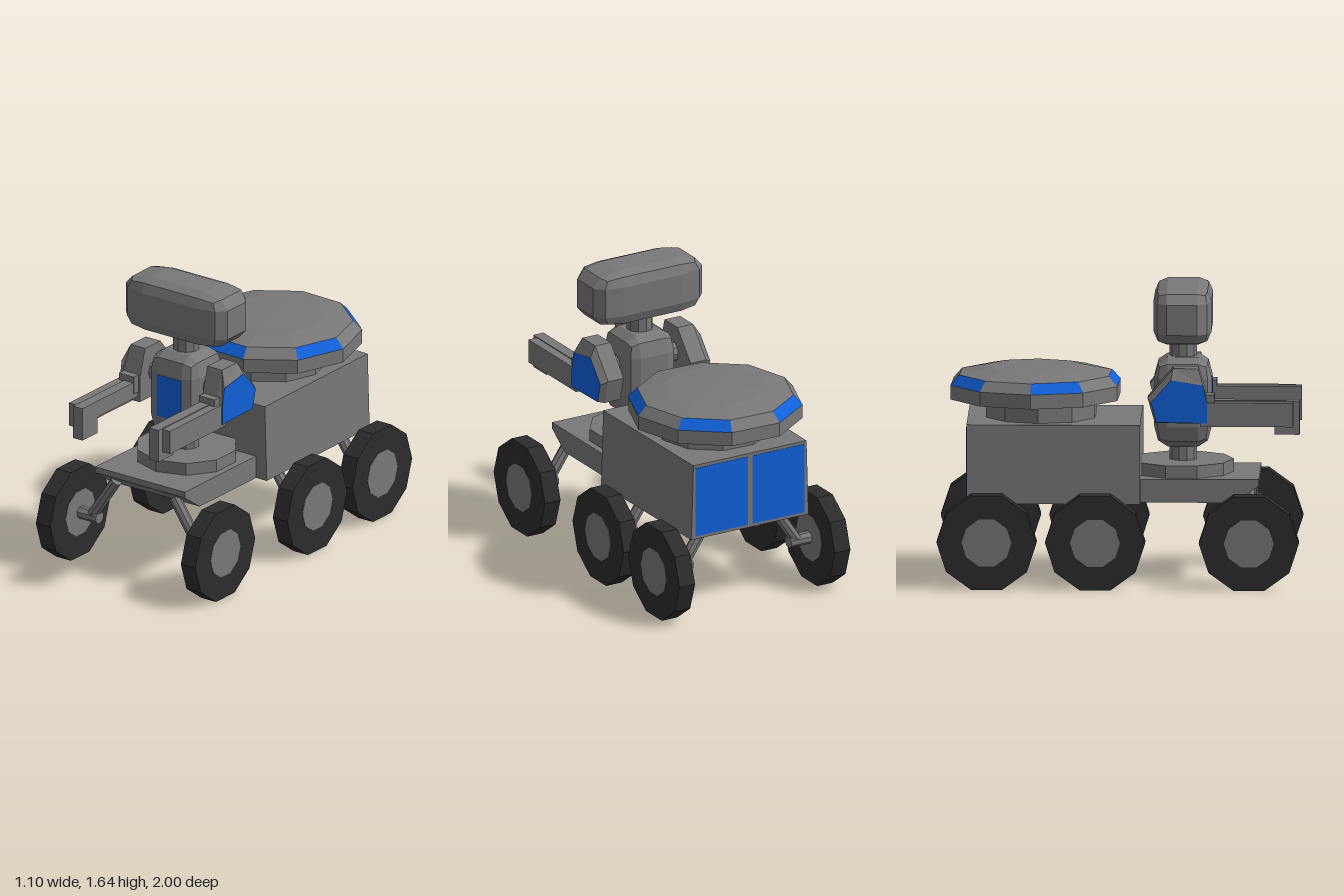
import * as THREE from 'three';
import { RoundedBoxGeometry } from 'three/addons/geometries/RoundedBoxGeometry.js';

const paint = (color) => new THREE.MeshStandardMaterial({ color, flatShading: true });
const rad = THREE.MathUtils.degToRad;

// Joins convex rings of [x, y, z] points (counter-clockwise seen from the last ring) and caps both ends
function loft(rings) {
  const out = [];
  const tri = (...pts) => pts.forEach((p) => out.push(...p));
  const n = rings[0].length;
  for (let r = 0; r < rings.length - 1; r++) {
    for (let i = 0; i < n; i++) {
      const j = (i + 1) % n, a = rings[r], b = rings[r + 1];
      tri(a[i], a[j], b[j]);
      tri(a[i], b[j], b[i]);
    }
  }
  const first = rings[0], last = rings[rings.length - 1];
  for (let i = 1; i < n - 1; i++) {
    tri(first[0], first[i + 1], first[i]);
    tri(last[0], last[i], last[i + 1]);
  }
  const geo = new THREE.BufferGeometry();
  geo.setAttribute('position', new THREE.Float32BufferAttribute(out, 3));
  geo.computeVertexNormals();
  return geo;
}

export function createModel() {
  const model = new THREE.Group();
  model.name = 'rover';
  const grey = paint(0x787878), dark = paint(0x2c2c2c), blue = paint(0x1060d8);

  const add = (parent, name, geo, mat = grey, x = 0, y = 0, z = 0) => {
    const mesh = new THREE.Mesh(geo, mat);
    mesh.name = name;
    mesh.position.set(x, y, z);
    parent.add(mesh);
    return mesh;
  };
  // Box given by its limits
  const box = (parent, name, x0, x1, y0, y1, z0, z1, mat) =>
    add(parent, name, new THREE.BoxGeometry(x1 - x0, y1 - y0, z1 - z0), mat,
      (x0 + x1) / 2, (y0 + y1) / 2, (z0 + z1) / 2);
  // Ring from a side profile of [z, y] pairs at a given x
  const side = (x, profile) => profile.map(([z, y]) => [x, y, z]);

  // Front deck with a sloping nose underneath
  const deck = [[0.1, 0.455], [0.1, 0.585], [0.775, 0.585], [0.775, 0.55], [0.64, 0.455]];
  add(model, 'frontDeck', loft([side(-0.31, deck), side(0.31, deck)]));

  // Cargo body, slightly narrower to the top and rear
  const bodyGeo = new THREE.BoxGeometry(0.77, 0.44, 0.96);
  const p = bodyGeo.attributes.position;
  for (let i = 0; i < p.count; i++) {
    p.setX(i, p.getX(i) * (p.getY(i) > 0 ? 0.965 : 1) * (p.getZ(i) < 0 ? 0.98 : 1));
  }
  bodyGeo.computeVertexNormals();
  add(model, 'cargoBody', bodyGeo, grey, 0, 0.675, -0.36);
  for (const s of [-1, 1]) {
    add(model, 'rearPanel', new THREE.BoxGeometry(0.335, 0.405, 0.006), blue, s * 0.183, 0.675, -0.839);
  }

  // Ten-sided dish on a collar, with every second bevel facet coloured
  add(model, 'dishCollar', new THREE.CylinderGeometry(0.315, 0.315, 0.12, 10, 1, false, rad(88)),
    grey, 0, 0.95, -0.435);
  const profile = [[0, 1], [0.485, 1], [0.485, 1.08], [0.435, 1.135], [0.29, 1.165], [0, 1.175]]
    .map(([r, y]) => new THREE.Vector2(r, y));
  add(model, 'dish', new THREE.LatheGeometry(profile, 10, rad(88)), grey, 0, 0, -0.467);
  const bevel = [new THREE.Vector2(0.487, 1.081), new THREE.Vector2(0.437, 1.136)];
  for (let k = 0; k < 5; k++) {
    add(model, 'dishLight', new THREE.LatheGeometry(bevel, 1, rad(124 + 72 * k), rad(36)),
      blue, 0, 0, -0.467);
  }

  // Turntable, spine, torso and head
  add(model, 'turntable', new THREE.CylinderGeometry(0.285, 0.285, 0.075, 10), grey, 0, 0.6175, 0.345);
  add(model, 'spine', new THREE.CylinderGeometry(0.075, 0.075, 0.7, 10), grey, 0, 1.0, 0.35);
  const block = new RoundedBoxGeometry(0.32, 0.32, 0.32, 1, 0.075);
  add(model, 'torso', block, grey, 0, 0.985, 0.35).scale.y = 1.56;
  box(model, 'chestPanel', -0.083, 0.083, 0.86, 1.106, 0.5, 0.512, blue);
  add(model, 'head', block, grey, 0, 1.48, 0.35).scale.x = 2.19;

  // Arms: a bevelled shoulder block with a coloured outer plate, then a stepped forearm
  const inner = [[0.49, 0.9], [0.2, 0.9], [0.16, 1.04], [0.3, 1.205], [0.44, 1.205], [0.49, 1.04]];
  const outer = [[0.49, 0.905], [0.21, 0.91], [0.18, 1.02], [0.29, 1.145], [0.47, 1.115], [0.49, 1.0]];
  for (const s of [-1, 1]) {
    const arm = new THREE.Group();
    arm.name = s > 0 ? 'leftArm' : 'rightArm';
    arm.scale.x = s;
    model.add(arm);
    add(arm, 'shoulder', loft([side(0.215, inner), side(0.315, inner), side(0.352, outer)]));
    add(arm, 'shoulderPlate', loft([side(0.352, outer), side(0.354, outer)]), blue);
    add(arm, 'shoulderJoint', new THREE.CylinderGeometry(0.06, 0.06, 0.14, 10), grey, 0.17, 1.05, 0.35)
      .rotation.z = Math.PI / 2;
    box(arm, 'elbow', 0.225, 0.33, 0.96, 1.06, 0.45, 0.53);
    box(arm, 'forearm', 0.285, 0.348, 0.885, 1.02, 0.45, 0.965);
    box(arm, 'forearmRail', 0.23, 0.295, 0.93, 1.025, 0.45, 1.0);
    box(arm, 'gripper', 0.23, 0.295, 0.835, 1.02, 0.86, 1.0);
  }

  // Six wheels, each on an axle and a slanted strut
  const disc = (r, width) => new THREE.CylinderGeometry(r, r, width, 10).rotateZ(Math.PI / 2);
  const tyreGeo = disc(0.2765, 0.1), hubGeo = disc(0.138, 0.104);
  const axleGeo = new THREE.CylinderGeometry(0.036, 0.036, 0.145, 8, 1, false, rad(22.5)).rotateZ(Math.PI / 2);
  const from = new THREE.Vector3(0.372, -0.005, 0), to = new THREE.Vector3(0.2, 0.25, 0);
  const strutGeo = new THREE.CylinderGeometry(0.033, 0.033, from.distanceTo(to), 8);
  for (const s of [-1, 1]) {
    for (const z of [0.725, -0.125, -0.725]) {
      const wheel = new THREE.Group();
      wheel.name = 'wheelAssembly';
      wheel.position.set(0, 0.263, z);
      wheel.scale.x = s;
      model.add(wheel);
      add(wheel, 'tyre', tyreGeo, dark, 0.5);
      add(wheel, 'hub', hubGeo, grey, 0.5);
      add(wheel, 'axle', axleGeo, grey, 0.3875);
      const strut = add(wheel, 'strut', strutGeo);
      strut.position.lerpVectors(from, to, 0.5);
      strut.rotation.z = Math.atan2(from.x - to.x, to.y - from.y);
    }
  }
  return model;
}
